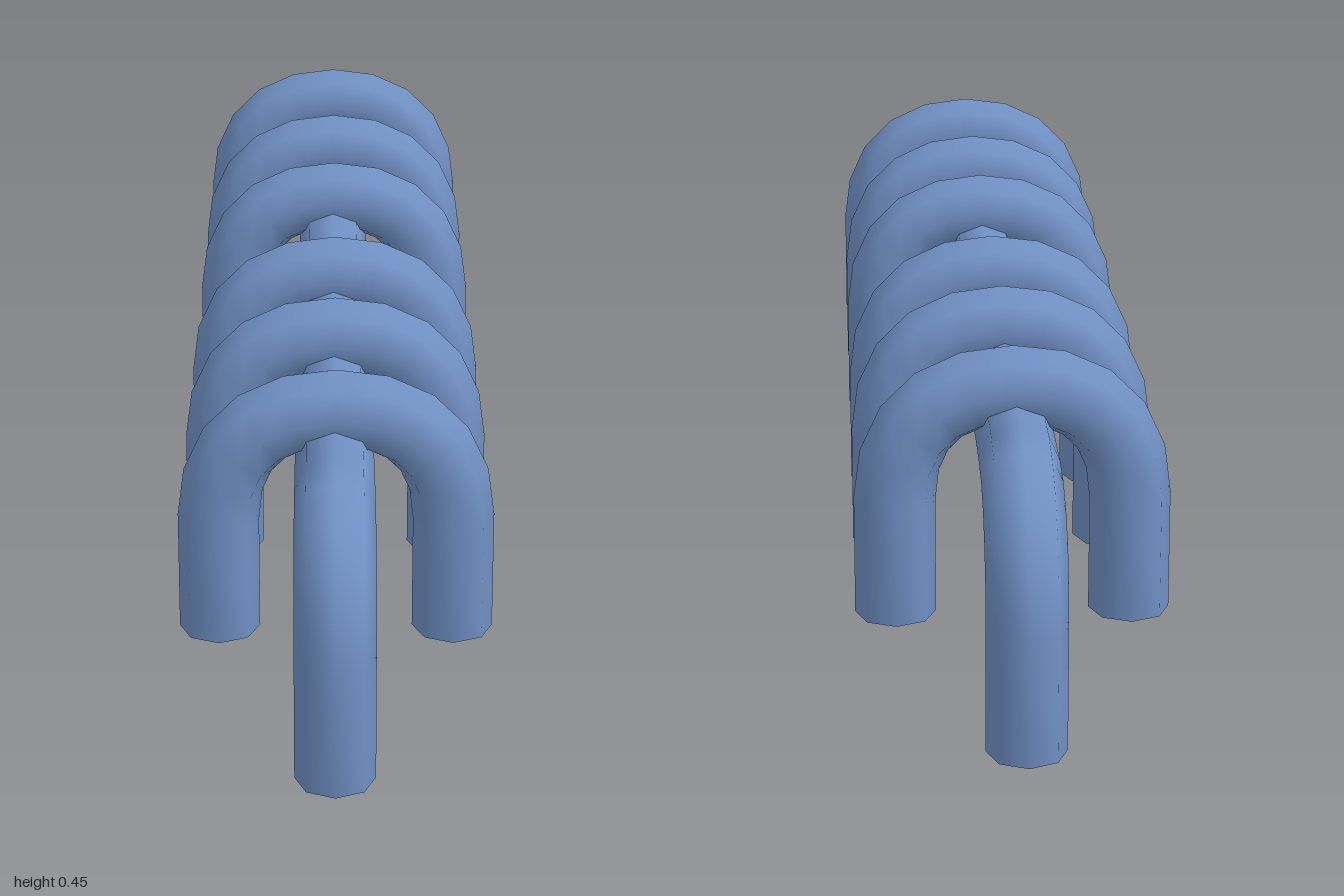
import * as THREE from 'three';

const SIDES = 8;

// Arch centre line in the XY plane: straight legs joined by two rounded corners
function archPath(half, bottom, top, bend, roundness, steps) {
  const V = (x, y) => new THREE.Vector2(x, y);
  const k = bend * (1 - roundness);
  const corner = new THREE.CubicBezierCurve(
    V(half, top - bend), V(half, top - k),
    V(half - k, top), V(half - bend, top));
  const right = [V(half, bottom), ...corner.getPoints(steps)];
  const left = right.map(p => V(-p.x, p.y)).reverse();
  if (half - bend < 1e-4) left.shift(); // corners meet at the crown
  return [...right, ...left];
}

// Sweep an open-ended round section along a planar path
function sweep(path, radius) {
  const pos = [], index = [];
  path.forEach((p, i) => {
    const last = path.length - 1;
    const a = p.clone().sub(path[Math.max(i - 1, 0)]).normalize();
    const b = path[Math.min(i + 1, last)].clone().sub(p).normalize();
    const t = a.add(b).normalize();
    for (let j = 0; j < SIDES; j++) {
      const ang = j / SIDES * Math.PI * 2;
      const n = Math.cos(ang) * radius;
      pos.push(p.x - t.y * n, p.y + t.x * n, Math.sin(ang) * radius);
      if (i < last) {
        const c = i * SIDES + j, d = i * SIDES + (j + 1) % SIDES;
        index.push(c, d, c + SIDES, d, d + SIDES, c + SIDES);
      }
    }
  });
  const g = new THREE.BufferGeometry();
  g.setAttribute('position', new THREE.Float32BufferAttribute(pos, 3));
  g.setIndex(index);
  g.computeVertexNormals();
  return g;
}

export function createModel() {
  const model = new THREE.Group();
  model.name = 'bikeRack';
  const paint = new THREE.MeshStandardMaterial({ color: 0x7090c4, side: THREE.DoubleSide });
  paint.name = 'bluePaint';

  // Long rail with both ends bent down to the ground
  const rail = new THREE.Mesh(sweep(archPath(0.948, 0, 0.328, 0.16, 0.6, 5), 0.052), paint);
  rail.name = 'mainRail';
  rail.rotation.y = Math.PI / 2;
  rail.position.x = -0.002;
  model.add(rail);

  // Hoops straddling the rail, mirrored front to back
  const hoopGeometry = sweep(archPath(0.156, 0.077, 0.394, 0.156, 0.63, 5), 0.054);
  for (const side of [1, -1]) {
    for (const z of [0.676, 0.416, 0.17]) {
      const hoop = new THREE.Mesh(hoopGeometry, paint);
      hoop.name = 'hoop';
      hoop.position.z = side * z;
      model.add(hoop);
    }
  }
  return model;
}
